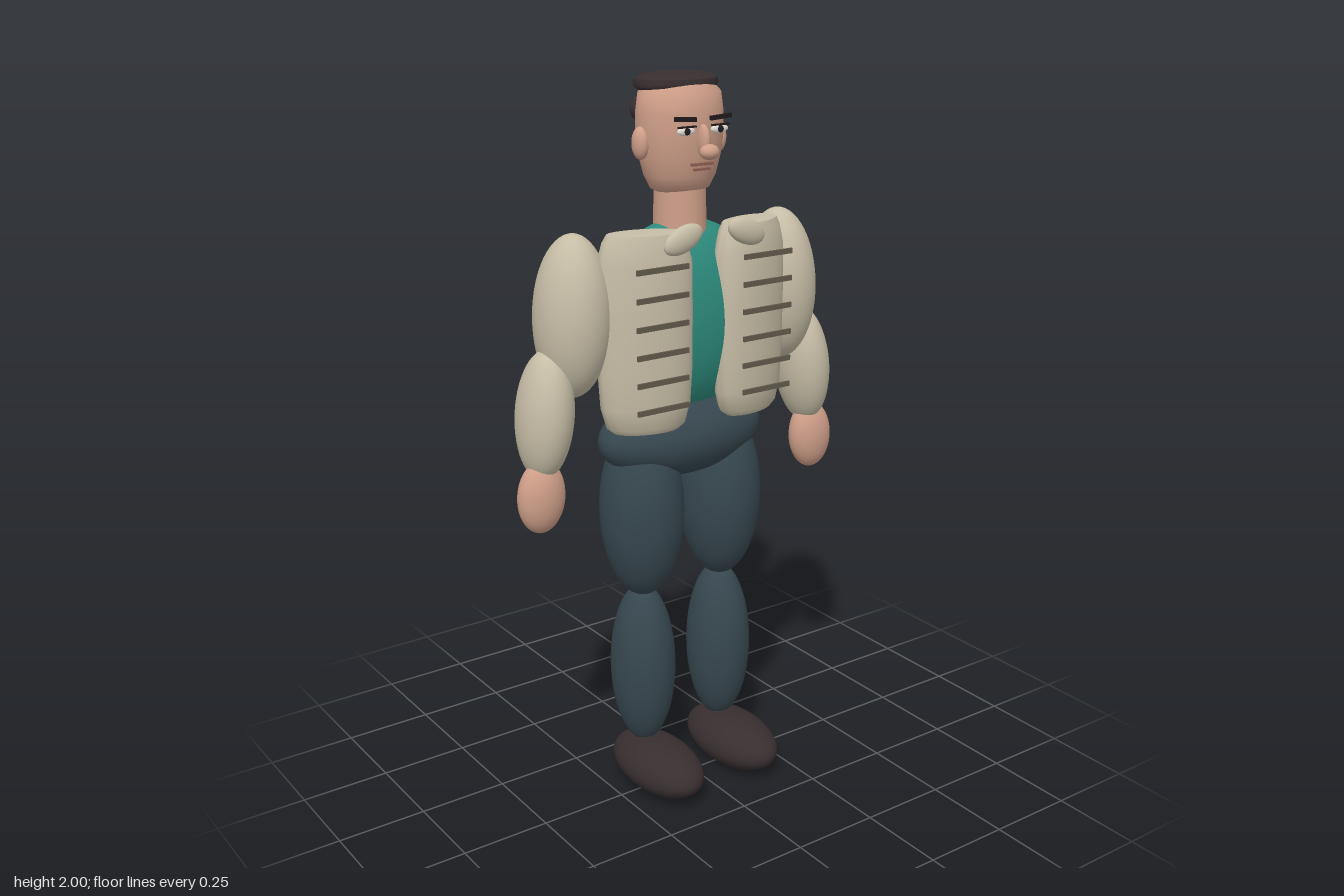
import * as THREE from 'three';
import { toCreasedNormals } from 'three/addons/utils/BufferGeometryUtils.js';

const paint = (name, color) => {
  const m = new THREE.MeshStandardMaterial({ color });
  m.name = name;
  return m;
};

export function createModel() {
  const skin = paint('skin', 0xcf9f89);
  const cloth = paint('jacket cloth', 0xc6bda6);
  const shirt = paint('shirt', 0x2d8a7c);
  const denim = paint('trousers', 0x37474f);
  const dark = paint('hair and shoes', 0x382e30);
  const trim = paint('jacket trim', 0x625b4c);
  const white = paint('eye white', 0xe4e0d8);
  const black = paint('brow and iris', 0x1f1a1b);
  const lip = paint('lips', 0x8f5f54);

  const model = new THREE.Group();
  model.name = 'standingMan';

  const add = (name, geometry, material, x, y, z, tilt = 0) => {
    const mesh = new THREE.Mesh(geometry, material);
    mesh.name = name;
    mesh.position.set(x, y, z);
    mesh.rotation.z = tilt;
    model.add(mesh);
    return mesh;
  };
  const blob = (name, material, [x, y, z], [rx, ry, rz], tilt = 0) =>
    add(name, new THREE.SphereGeometry(1, 40, 28).scale(rx, ry, rz), material, x, y, z, tilt);
  const box = (name, material, [x, y, z], [w, h, d], tilt = 0) =>
    add(name, new THREE.BoxGeometry(w, h, d), material, x, y, z, tilt);
  // Turned profile of [radius, y] points, squashed front to back
  const turned = (points, depth) => {
    const g = new THREE.LatheGeometry(points.map(([r, y]) => new THREE.Vector2(r, y)), 48);
    return toCreasedNormals(g.scale(1, 1, depth), 0.7);
  };

  // Torso, hips and neck
  blob('torso', shirt, [0, 1.36, -0.06], [0.265, 0.265, 0.135]);
  blob('hips', denim, [0, 1.035, -0.06], [0.256, 0.118, 0.132]);
  add('neck', new THREE.CylinderGeometry(0.068, 0.072, 0.16, 32), skin, 0, 1.64, -0.06);

  // Head
  const headProfile = [[0, 1.69], [0.055, 1.692], [0.082, 1.706], [0.1, 1.74], [0.113, 1.79],
    [0.121, 1.85], [0.12, 1.9], [0.113, 1.95], [0.085, 1.98], [0, 1.985]];
  add('head', turned(headProfile, 0.84), skin, 0, 0, -0.06);

  // Hair: flat crown and the patch at the back
  const crownProfile = [[0, 1.943], [0.06, 1.945], [0.1, 1.953], [0.115, 1.964], [0.117, 1.973],
    [0.113, 1.985], [0.098, 1.993], [0.06, 1.998], [0, 2]];
  add('crownHair', turned(crownProfile, 0.8), dark, 0, 0, -0.076);
  blob('backHair', dark, [0, 1.905, -0.13], [0.105, 0.055, 0.042]);

  // Nose and mouth
  blob('noseBridge', skin, [0, 1.835, 0.045], [0.014, 0.042, 0.024]);
  blob('noseTip', skin, [0, 1.81, 0.072], [0.027, 0.02, 0.022]);
  box('upperLip', lip, [0, 1.776, 0.041], [0.066, 0.007, 0.009]);
  box('lowerLip', lip, [0, 1.763, 0.04], [0.05, 0.006, 0.009]);

  // Front panel outline, narrower at hem and shoulder
  const panelProfile = [[0, 1.09], [0.09, 1.09], [0.108, 1.105], [0.123, 1.16], [0.129, 1.26],
    [0.13, 1.4], [0.128, 1.54], [0.112, 1.595], [0.1, 1.615], [0, 1.618]];

  for (const s of [-1, 1]) {
    const side = s > 0 ? 'left' : 'right';

    // Face
    blob(side + 'Ear', skin, [s * 0.122, 1.827, -0.06], [0.021, 0.042, 0.027]);
    box(side + 'Brow', black, [s * 0.055, 1.892, 0.045], [0.064, 0.011, 0.009], s * 0.06);
    blob(side + 'Eye', white, [s * 0.052, 1.862, 0.043], [0.027, 0.011, 0.007]);
    blob(side + 'Iris', black, [s * 0.052, 1.862, 0.049], [0.009, 0.009, 0.004]);
    box(side + 'Eyelid', black, [s * 0.052, 1.873, 0.048], [0.054, 0.004, 0.009]);

    // Jacket panel, collar and braid bars
    const panel = add(side + 'JacketPanel', turned(panelProfile, 0.5), cloth, s * 0.168, 0, 0.022);
    panel.rotation.y = s * 0.27;
    blob(side + 'Collar', cloth, [s * 0.1, 1.602, 0.098], [0.061, 0.034, 0.02], -s * 0.38);
    for (let i = 0; i < 6; i++) {
      box(side + 'Braid' + (i + 1), trim, [s * 0.168, 1.535 - i * 0.0735, 0.106], [0.158, 0.014, 0.006]);
    }

    // Arm
    blob(side + 'UpperArm', cloth, [s * 0.337, 1.405, -0.06], [0.1, 0.214, 0.109], s * 0.04);
    blob(side + 'Forearm', cloth, [s * 0.427, 1.157, -0.06], [0.073, 0.174, 0.089], s * 0.1);
    blob(side + 'Hand', skin, [s * 0.452, 0.942, -0.047], [0.067, 0.1, 0.049], s * 0.06);

    // Leg
    blob(side + 'Thigh', denim, [s * 0.132, 0.835, -0.058], [0.115, 0.255, 0.122]);
    blob(side + 'Shin', denim, [s * 0.132, 0.363, -0.06], [0.09, 0.243, 0.098]);
    blob(side + 'Shoe', dark, [s * 0.132, 0.073, 0.013], [0.1, 0.073, 0.178]);
  }
  return model;
}
